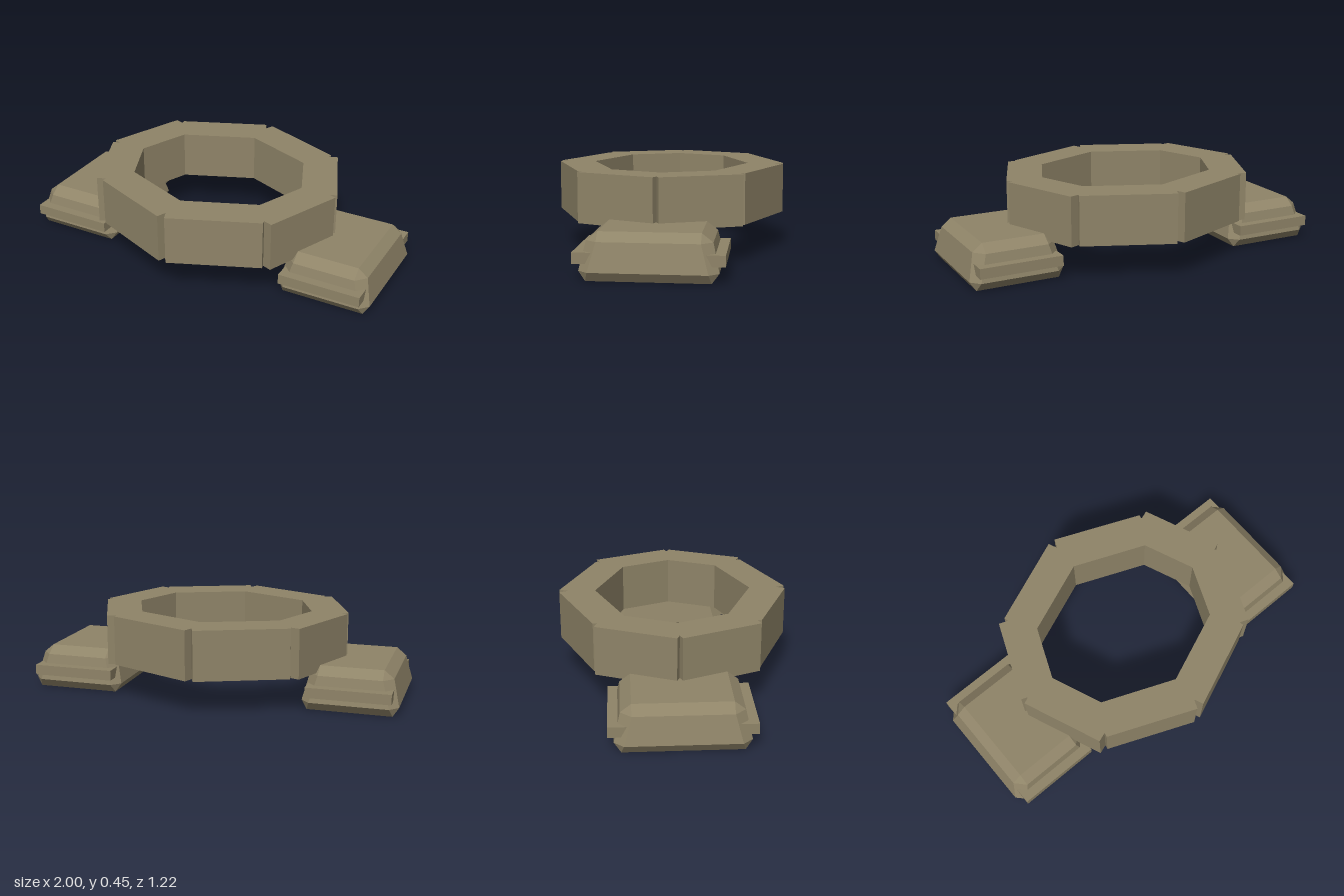
import * as THREE from 'three';
import { ConvexGeometry } from 'three/addons/geometries/ConvexGeometry.js';

const khaki = new THREE.MeshStandardMaterial({ color: 0x8f8468 });
khaki.name = 'khaki';

// Closed counter-clockwise outline mirrored from its first quarter.
// The quarter starts on the x axis and ends on the y axis.
function mirrorOutline(quarter) {
  const half = [
    ...quarter,
    ...quarter.slice(0, -1).reverse().map(([x, y]) => [-x, y]),
  ];
  const lower = half.slice(1, -1).reverse().map(([x, y]) => [x, -y]);
  return [...half, ...lower].map(([x, y]) => new THREE.Vector2(x, y));
}

// Eight-sided ring with a small V notch at every outer corner
function makeRing() {
  const shape = new THREE.Shape(mirrorOutline([
    [0.646, 0], [0.68, 0.014], [0.513, 0.417], [0.466, 0.4],
    [0.471, 0.423], [0.02, 0.61], [0, 0.562],
  ]));
  shape.holes.push(new THREE.Path(mirrorOutline([[0.485, 0], [0.375, 0.265], [0, 0.418]])));
  const geometry = new THREE.ExtrudeGeometry(shape, { depth: 0.26, bevelEnabled: false });
  geometry.rotateX(-Math.PI / 2);
  geometry.translate(0, 0.19, 0);
  const ring = new THREE.Mesh(geometry, khaki);
  ring.name = 'octagonalRing';
  return ring;
}

// Foot: chamfered block with a bar running through it front to back
function makeFoot(side) {
  const foot = new THREE.Group();
  foot.name = side > 0 ? 'leftFoot' : 'rightFoot';

  // Corner points [x, y, z] of one quarter, from the sole to the top
  const corners = [
    [0.22, 0, 0.293],
    [0.25, 0.045, 0.28], [0.205, 0.045, 0.328],
    [0.216, 0.183, 0.243], [0.166, 0.183, 0.297],
    [0.165, 0.225, 0.243],
  ];
  const points = [];
  for (const [x, y, z] of corners) {
    for (const sx of [1, -1]) {
      for (const sz of [1, -1]) points.push(new THREE.Vector3(sx * x, y, sz * z));
    }
  }
  const block = new THREE.Mesh(new ConvexGeometry(points), khaki);
  block.name = 'footBlock';

  const bar = new THREE.Mesh(new THREE.BoxGeometry(0.44, 0.054, 0.714), khaki);
  bar.name = 'footBar';
  bar.position.y = 0.106;

  foot.add(block, bar);
  foot.position.x = side * 0.75;
  return foot;
}

export function createModel() {
  const model = new THREE.Group();
  model.name = 'ringOnFeet';
  model.add(makeRing(), makeFoot(1), makeFoot(-1));
  return model;
}
